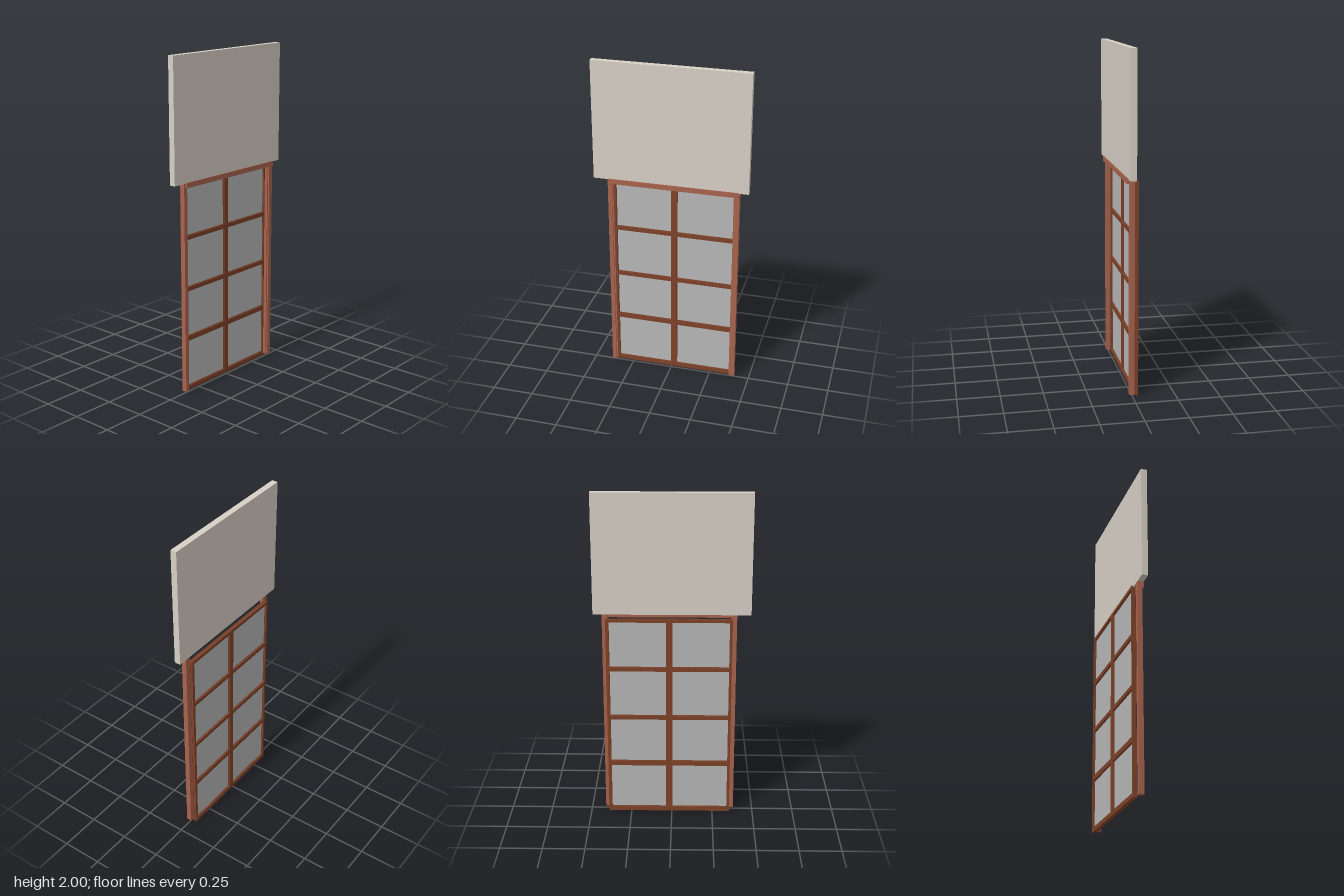
import * as THREE from 'three';

export function createModel() {
  const model = new THREE.Group();
  model.name = 'doorAndWall';
  const paint = (color) => new THREE.MeshStandardMaterial({ color, roughness: 0.8 });
  const plaster = paint(0xd8d0c6), trimWood = paint(0xa8644e);
  const doorWood = paint(0x7e4229), glass = paint(0xb8b8b8);

  // Box given by its limits on each axis
  function box(name, material, [x0, x1], [y0, y1], [z0, z1], parent = model) {
    const mesh = new THREE.Mesh(new THREE.BoxGeometry(x1 - x0, y1 - y0, z1 - z0), material);
    mesh.position.set((x0 + x1) / 2, (y0 + y1) / 2, (z0 + z1) / 2);
    mesh.name = name;
    parent.add(mesh);
  }

  // Wall panel above the opening
  box('wallPanel', plaster, [-0.01, 0.027], [1.28, 2], [-0.465, 0.465]);

  // Door surround: two jambs with a stop bead, and the head trim
  for (const [name, z0, z1] of [['frontJamb', 0.357, 0.382], ['backJamb', -0.412, -0.384]]) {
    box(name, trimWood, [-0.01, 0.02], [0.015, 1.28], [z0, z1]);
  }
  box('frontJambBead', trimWood, [-0.008, 0.012], [0.015, 1.28], [0.349, 0.357]);
  box('backJambBead', trimWood, [-0.008, 0.012], [0.015, 1.28], [-0.384, -0.376]);
  box('headTrim', trimWood, [0.02, 0.034], [1.254, 1.284], [-0.405, 0.372]);

  // Pane openings, as limits along z and y
  const door = new THREE.Group();
  door.name = 'door';
  model.add(door);
  const columns = [[0.005, 0.34], [-0.37, -0.035]];
  const rows = [[0.03, 0.31], [0.345, 0.618], [0.648, 0.93], [0.96, 1.237]];

  function rect(path, z0, z1, y0, y1) {
    path.moveTo(-z1, y0);
    path.lineTo(-z0, y0);
    path.lineTo(-z0, y1);
    path.lineTo(-z1, y1);
    path.closePath();
    return path;
  }

  // One layer of the glazed frame; inset shrinks the outline, reveal widens the openings
  function frameLayer(name, x0, x1, inset, reveal) {
    const shape = rect(new THREE.Shape(), -0.39 + inset, 0.356 - inset, inset, 1.26 - inset);
    for (const [z0, z1] of columns) for (const [y0, y1] of rows) {
      shape.holes.push(rect(new THREE.Path(), z0 - reveal, z1 + reveal, y0 - reveal, y1 + reveal));
    }
    const geometry = new THREE.ExtrudeGeometry(shape, { depth: x1 - x0, bevelEnabled: false });
    geometry.rotateY(Math.PI / 2);
    geometry.translate(x0, 0, 0);
    const mesh = new THREE.Mesh(geometry, doorWood);
    mesh.name = name;
    door.add(mesh);
  }
  frameLayer('outerFrame', -0.036, -0.028, 0, 0.003);
  frameLayer('frameCore', -0.028, -0.018, 0.004, 0);
  frameLayer('innerFrame', -0.018, -0.011, 0.002, 0.003);

  // Glass panes held in the core
  for (const z of columns) for (const y of rows) {
    box('pane', glass, [-0.025, -0.021], y, z, door);
  }
  return model;
}
